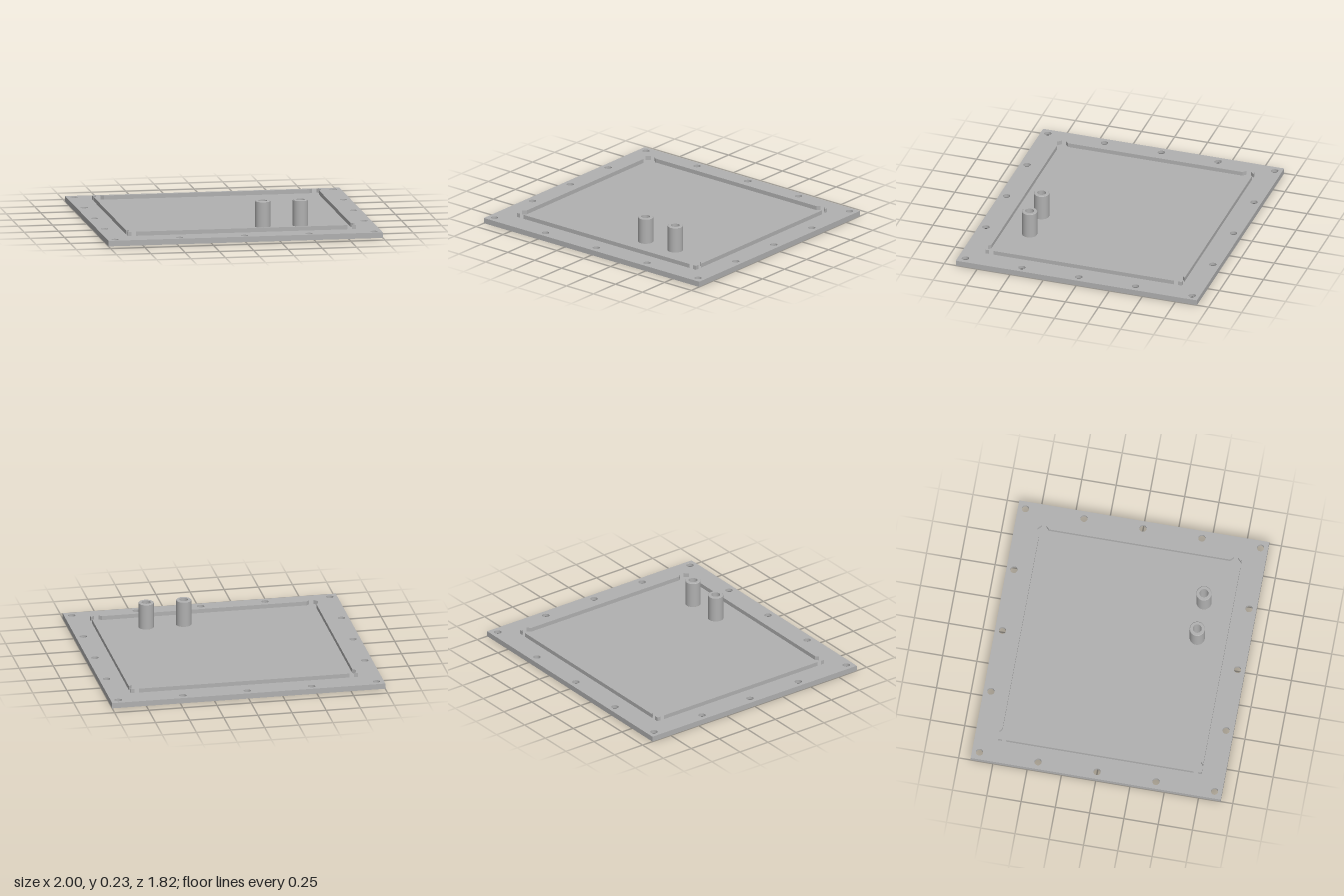
import * as THREE from 'three';
import { mergeGeometries } from 'three/addons/utils/BufferGeometryUtils.js';

const SEG = 32, W = 1, D = 0.912, T = 0.04, RAIL_TOP = 0.07;

// Revolved surface with a sharp edge at every profile point
function sharpLathe(points) {
  const parts = [];
  for (let i = 0; i < points.length - 1; i++) {
    const pair = [points[i], points[i + 1]].map(([r, y]) => new THREE.Vector2(r, y));
    parts.push(new THREE.LatheGeometry(pair, SEG));
  }
  return mergeGeometries(parts);
}

// Upright prism on the plate from [x, z] corners
function prism(corners) {
  const shape = new THREE.Shape(corners.map(([x, z]) => new THREE.Vector2(x, -z)));
  const g = new THREE.ExtrudeGeometry(shape, { depth: RAIL_TOP - T, bevelEnabled: false });
  return g.rotateX(-Math.PI / 2).translate(0, T, 0);
}

// Rectangular face pierced by round holes, facing up (dir 1) or down (dir -1)
function piercedFace(holes, dir, y) {
  const shape = new THREE.Shape([[-W, -D], [W, -D], [W, D], [-W, D]].map(([x, z]) => new THREE.Vector2(x, z)));
  for (const [x, z, r] of holes) {
    shape.holes.push(new THREE.Path().absarc(x, -dir * z, r, 0, Math.PI * 2, true));
  }
  return new THREE.ShapeGeometry(shape, SEG).rotateX(-dir * Math.PI / 2).translate(0, y, 0);
}

export function createModel() {
  const group = new THREE.Group();
  const grey = new THREE.MeshStandardMaterial({ color: 0xb0b0b0 });
  grey.name = 'plainGrey';
  const add = (name, geometry) => {
    const mesh = new THREE.Mesh(geometry, grey);
    mesh.name = name;
    group.add(mesh);
    return mesh;
  };

  // Hole positions around the rim, and the two pipes
  const bolts = [];
  for (const z of [-0.858, 0.858]) for (const x of [-0.945, -0.472, 0, 0.472, 0.945]) bolts.push([x, z]);
  for (const x of [-0.945, 0.945]) for (const z of [-0.43, 0, 0.43]) bolts.push([x, z]);
  const pipes = [[0.19, 0.53], [0.465, 0.53]];
  const holes = (rBolt, rPipe) => [
    ...bolts.map(([x, z]) => [x, z, rBolt]),
    ...pipes.map(([x, z]) => [x, z, rPipe]),
  ];

  // Base plate: pierced faces and four edges
  const plate = [piercedFace(holes(0.026, 0.055), 1, T), piercedFace(holes(0.04, 0.083), -1, 0)];
  for (let i = 0; i < 4; i++) {
    const alongX = i % 2 === 0;
    plate.push(new THREE.PlaneGeometry(alongX ? 2 * W : 2 * D, T)
      .translate(0, T / 2, alongX ? D : W).rotateY(i * Math.PI / 2));
  }
  add('basePlate', mergeGeometries(plate));

  // Bolt holes, widened underneath
  const boltWall = sharpLathe([[0.026, T], [0.026, 0.016], [0.04, 0]]);
  for (const [x, z] of bolts) add('boltHole', boltWall).position.set(x, 0, z);

  // Hollow pipes with a shallow recess underneath
  const pipe = sharpLathe([[0.055, T], [0.055, 0.226], [0.051, 0.23], [0.032, 0.23],
    [0.032, 0.015], [0.083, 0.015], [0.083, 0]]);
  for (const [x, z] of pipes) add('pipe', pipe).position.set(x, 0, z);

  // Raised rails with mitred ends, one per side
  const X = 0.832, Z = 0.743, x1 = 0.808, z1 = 0.724;
  for (const s of [-1, 1]) {
    add('longRail', prism([[-0.771, s * Z], [0.771, s * Z], [0.749, s * z1], [-0.749, s * z1]]));
    add('sideRail', prism([[s * X, -0.684], [s * X, 0.684], [s * x1, 0.66], [s * x1, -0.66]]));
    // Small corner stops
    for (const t of [-1, 1]) {
      add('cornerStop', prism([[s * X, t * Z], [s * (X - 0.028), t * Z], [s * X, t * (Z - 0.028)]]));
    }
  }
  return group;
}
